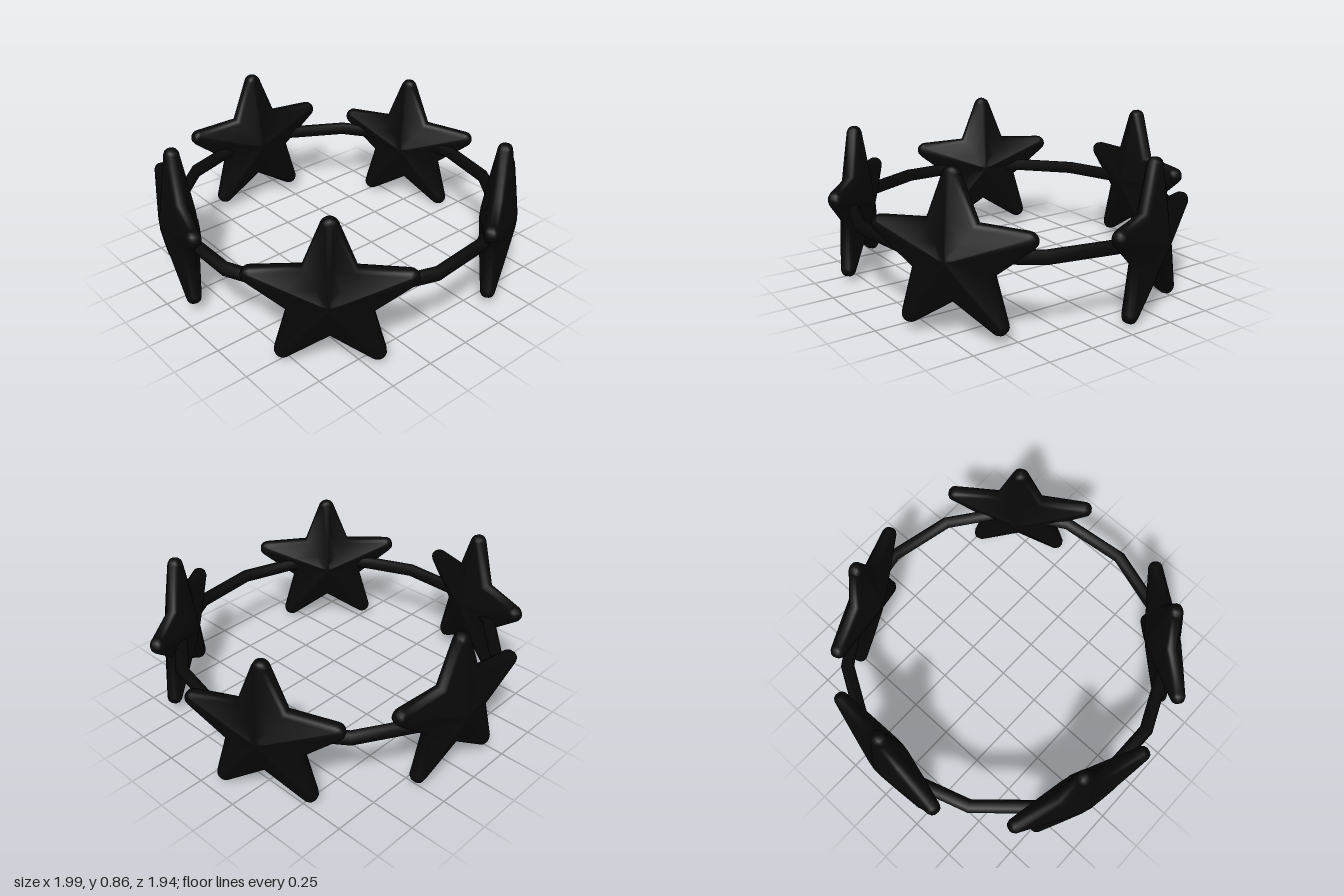
import * as THREE from 'three';

const black = new THREE.MeshStandardMaterial({ color: 0x080808 });

// Five-pointed outline with round tips, pulled inwards by d
function starOutline(d) {
  const pts = [];
  const arcSteps = 6, halfArc = 1.21, tip = 0.395, tipRadius = 0.045 - d, notch = 0.222 - d * 1.1;
  for (let i = 0; i < 5; i++) {
    const a = Math.PI / 2 + (i * Math.PI * 2) / 5;
    for (let k = 0; k <= arcSteps; k++) {
      const b = a + halfArc * ((2 * k) / arcSteps - 1);
      pts.push([Math.cos(a) * tip + Math.cos(b) * tipRadius, Math.sin(a) * tip + Math.sin(b) * tipRadius]);
    }
    const n = a + Math.PI / 5;
    pts.push([Math.cos(n) * notch, Math.sin(n) * notch]);
  }
  return pts;
}

// Puffy star lofted from the back centre, around the rim, to the front centre
function starGeometry() {
  // inset, scale, depth
  const half = [[0.025, 0.12, 0.097], [0.025, 0.55, 0.069], [0.025, 1, 0.038], [0.008, 1, 0.028], [0, 1, 0.012]];
  const levels = [...half.map(([d, s, z]) => [d, s, -z]), ...half.slice().reverse()];
  const positions = [0, 0, -0.101];
  const index = [];
  let n = 0;
  for (const [d, s, z] of levels) {
    const ring = starOutline(d);
    n = ring.length;
    for (const [x, y] of ring) positions.push(x * s, y * s, z);
  }
  positions.push(0, 0, 0.101);
  const last = 1 + levels.length * n;
  for (let i = 0; i < n; i++) {
    const j = (i + 1) % n;
    index.push(0, 1 + j, 1 + i);
    for (let l = 0; l < levels.length - 1; l++) {
      const a = 1 + l * n + i, b = 1 + l * n + j;
      index.push(a, b, b + n, a, b + n, a + n);
    }
    index.push(last, last - n + i, last - n + j);
  }
  const g = new THREE.BufferGeometry();
  g.setAttribute('position', new THREE.Float32BufferAttribute(positions, 3));
  g.setIndex(index);
  g.computeVertexNormals();
  return g;
}

export function createModel() {
  const model = new THREE.Group();
  model.name = 'starCirclet';

  // Low-poly band
  const band = new THREE.Mesh(new THREE.TorusGeometry(0.885, 0.037, 6, 15).rotateX(Math.PI / 2), black);
  band.name = 'band';
  band.position.set(-0.018, 0.416, 0);
  model.add(band);

  // Stars facing outwards: x, y, z, facing angle in degrees from +x towards +z
  const geometry = starGeometry();
  const stars = {
    backStar: [0.035, 0.42, -0.868, -83.5],
    leftStar: [0.8, 0.368, -0.292, -23.5],
    frontLeftStar: [0.523, 0.412, 0.71, 55.3],
    frontRightStar: [-0.612, 0.393, 0.665, 131.8],
    rightStar: [-0.838, 0.42, -0.33, 198.4],
  };
  for (const [name, [x, y, z, angle]] of Object.entries(stars)) {
    const star = new THREE.Mesh(geometry, black);
    star.name = name;
    star.position.set(x, y, z);
    star.rotation.y = THREE.MathUtils.degToRad(90 - angle);
    model.add(star);
  }
  return model;
}
